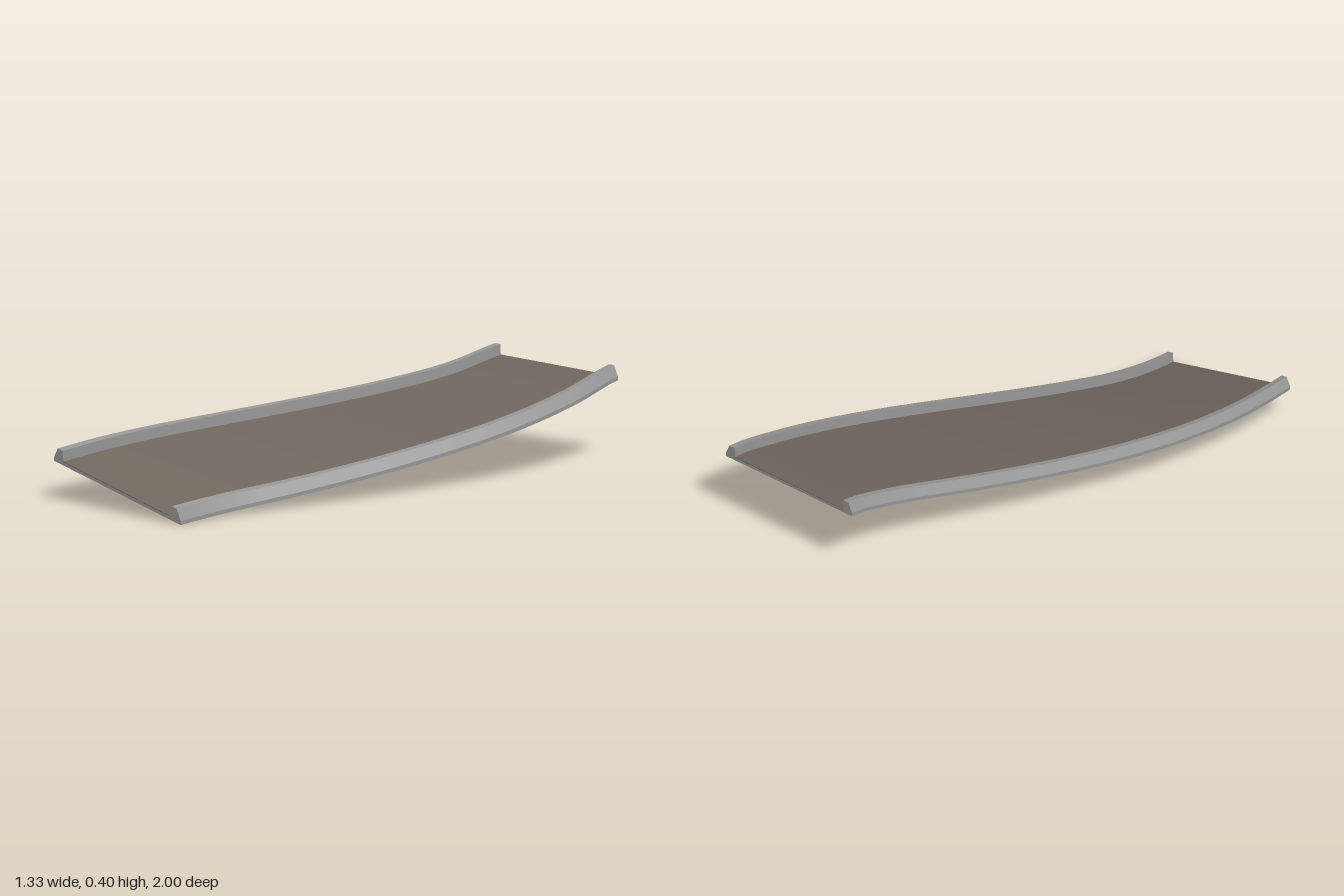
import * as THREE from 'three';
import { toCreasedNormals } from 'three/addons/utils/BufferGeometryUtils.js';

const STEPS = 32;

// Smooth lookup of a value along the ramp: t = 0 at the front end, 1 at the back end
function profile(values) {
  const curve = new THREE.SplineCurve(values.map((v, i) => new THREE.Vector2(i, v)));
  return t => curve.getPoint(t).y;
}

const leftX = profile([-0.665, -0.648, -0.597, -0.515, -0.41, -0.292, -0.17, -0.058, 0]);
const rightX = t => -leftX(1 - t);
const leftY = profile([0.17, 0.175, 0.182, 0.192, 0.207, 0.228, 0.256, 0.294, 0.34]);
const rightY = profile([0, 0.018, 0.047, 0.084, 0.127, 0.174, 0.225, 0.281, 0.34]);

// Bottom corners and sideways bank of the ramp at t
function station(t) {
  const xl = leftX(t), xr = rightX(t), yl = leftY(t), yr = rightY(t);
  return { xl, xr, yl, yr, slope: (yr - yl) / (xr - xl), z: 1 - 2 * t };
}

// Loft a convex, counter-clockwise section from front to back, with end caps
function loft(section) {
  const rings = [];
  for (let i = 0; i <= STEPS; i++) {
    const s = station(i / STEPS);
    rings.push(section(s).map(([x, y]) => [x, y, s.z]));
  }
  const pos = [], n = rings[0].length;
  const tri = (a, b, c) => pos.push(...a, ...b, ...c);
  for (let i = 0; i < STEPS; i++) {
    for (let j = 0; j < n; j++) {
      const k = (j + 1) % n;
      const a = rings[i][j], b = rings[i][k], c = rings[i + 1][k], d = rings[i + 1][j];
      tri(a, d, c);
      tri(a, c, b);
    }
  }
  const first = rings[0], last = rings[STEPS];
  for (let j = 1; j < n - 1; j++) {
    tri(first[0], first[j], first[j + 1]);
    tri(last[0], last[j + 1], last[j]);
  }
  const geometry = new THREE.BufferGeometry();
  geometry.setAttribute('position', new THREE.Float32BufferAttribute(pos, 3));
  return toCreasedNormals(geometry, 0.35);
}

// Kerb section: inward offset from the outer edge, height above the underside
const KERB = [[0, 0], [0.05, 0], [0.047, 0.06], [0.02, 0.06], [0, 0.016]];

const leftKerb = s => KERB.map(([u, v]) => [s.xl + u, s.yl + u * s.slope + v]);
const rightKerb = s => KERB.map(([u, v]) => [s.xr - u, s.yr - u * s.slope + v]).reverse();

// Flat layer between the kerbs from height low to height high
const layer = (low, high) => s => {
  const a = 0.045, l = s.xl + a, r = s.xr - a;
  const yl = s.yl + a * s.slope, yr = s.yr - a * s.slope;
  return [[l, yl + low], [r, yr + low], [r, yr + high], [l, yl + high]];
};

export function createModel() {
  const concrete = new THREE.MeshStandardMaterial({ color: 0x969696 });
  concrete.name = 'grey concrete';
  const asphalt = new THREE.MeshStandardMaterial({ color: 0x70675f });
  asphalt.name = 'brown grey asphalt';

  const group = new THREE.Group();
  group.name = 'curvedRamp';
  const add = (name, section, material) => {
    const mesh = new THREE.Mesh(loft(section), material);
    mesh.name = name;
    group.add(mesh);
  };

  add('deckSlab', layer(0, 0.013), concrete);
  add('roadSurface', layer(0.013, 0.016), asphalt);
  add('leftKerb', leftKerb, concrete);
  add('rightKerb', rightKerb, concrete);
  return group;
}
